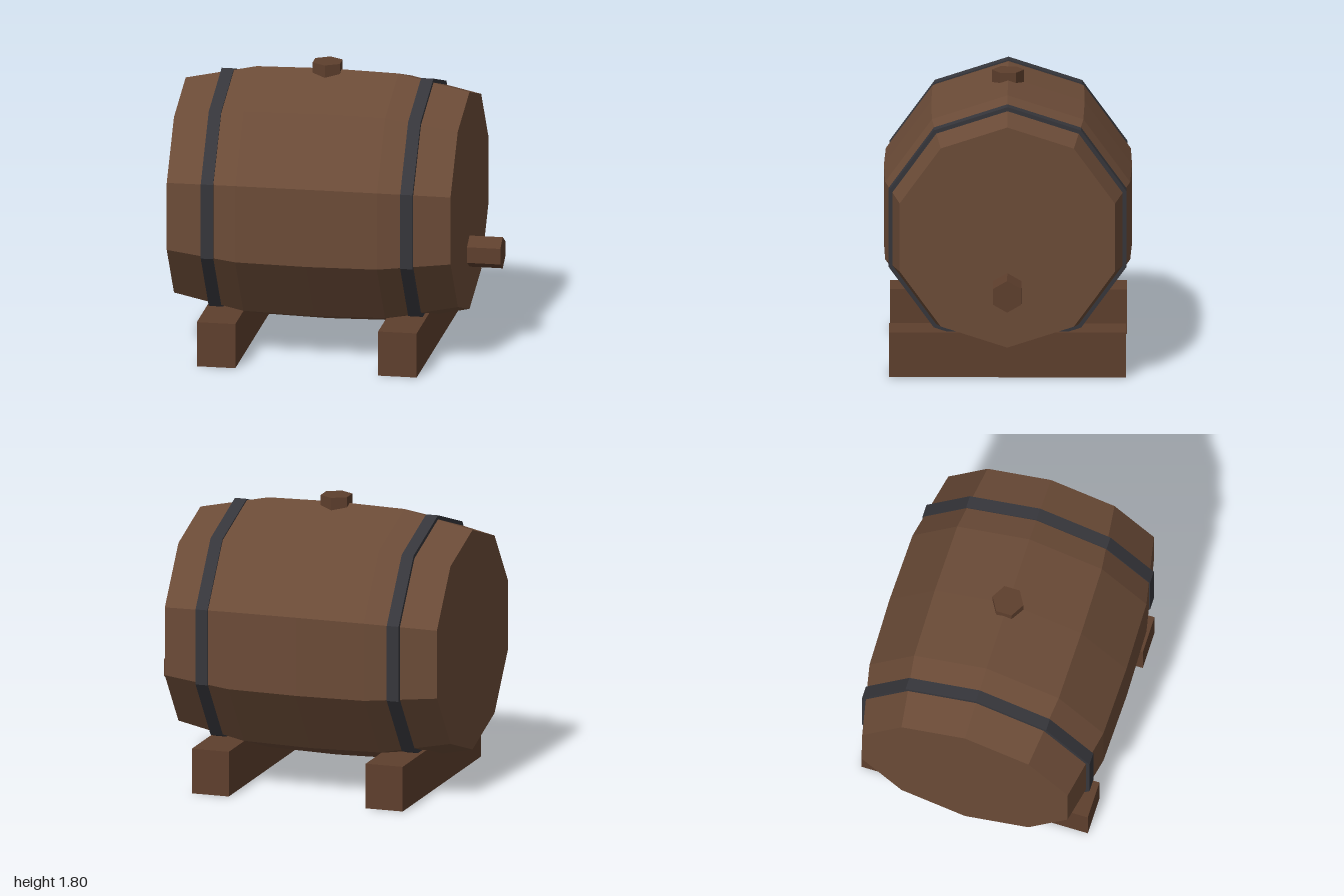
import * as THREE from 'three';

const material = (color) => new THREE.MeshStandardMaterial({ color, flatShading: true });

export function createModel() {
  const model = new THREE.Group();
  model.name = 'barrel';
  const staveWood = material(0x6b4b37);
  const darkWood = material(0x5e3f2d);
  const iron = material(0x36363b);
  const SIDES = 10, AXIS_Y = 0.941, MID_X = -0.105;

  const add = (name, geometry, mat, x, y, z = 0) => {
    const mesh = new THREE.Mesh(geometry, mat);
    mesh.name = name;
    mesh.position.set(x, y, z);
    model.add(mesh);
    return mesh;
  };
  // Prism lying along x with a corner pointing up
  const lyingPrism = (radius, length, sides) =>
    new THREE.CylinderGeometry(radius, radius, length, sides, 1, false, Math.PI / 2).rotateZ(-Math.PI / 2);

  // Bulging ten-sided body with closed ends
  const profile = [
    [0, -0.895], [0.703, -0.895], [0.8, -0.447], [0.81, 0],
    [0.8, 0.447], [0.703, 0.895], [0, 0.895],
  ].map(([r, h]) => new THREE.Vector2(r, h));
  const body = new THREE.LatheGeometry(profile, SIDES, Math.PI / 2).rotateZ(-Math.PI / 2);
  add('body', body, staveWood, MID_X, AXIS_Y);

  // Hoops and cradle beams, one of each per end
  for (const [side, s] of [['right', -1], ['left', 1]]) {
    add(side + 'Hoop', lyingPrism(0.778, 0.078, SIDES), iron, MID_X + s * 0.629, AXIS_Y);
    add(side + 'CradleBeam', new THREE.BoxGeometry(0.243, 0.286, 1.472), darkWood, MID_X + s * 0.572, 0.143);
  }

  // Hexagonal bung on top and tap plug on the end
  add('bung', new THREE.CylinderGeometry(0.1, 0.1, 0.12, 6), darkWood, MID_X, 1.738);
  add('tap', lyingPrism(0.101, 0.26, 6), darkWood, 0.87, 0.613);

  return model;
}
